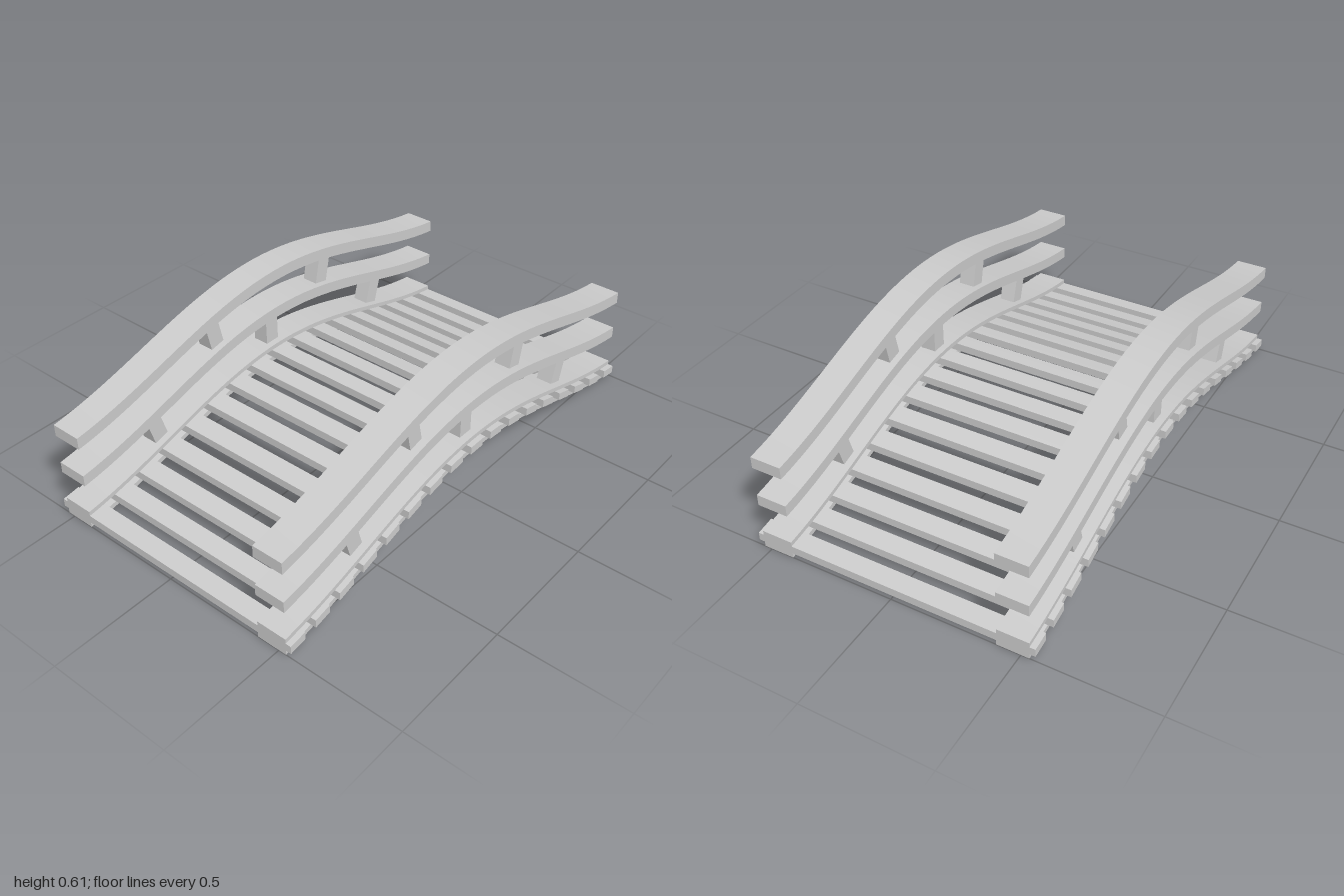
import * as THREE from 'three';

const material = new THREE.MeshStandardMaterial({ color: 0xcccccc });

// Height and slope of the arched walkway along x
const RISE = 0.207, K = 2.7;
const arch = x => RISE * (Math.cos(K * x) - Math.cos(K)) / (1 - Math.cos(K));
const slope = x => -RISE * K * Math.sin(K * x) / (1 - Math.cos(K));

// Box bent along the arch; y0 and y1 are its heights at the bridge ends
function archedSlab(name, x0, x1, y0, y1, z, depth, segments) {
  const geometry = new THREE.BoxGeometry(x1 - x0, y1 - y0, depth, segments, 1, 1);
  geometry.translate((x0 + x1) / 2, (y0 + y1) / 2, z);
  const p = geometry.attributes.position;
  for (let i = 0; i < p.count; i++) p.setY(i, p.getY(i) + arch(p.getX(i)));
  geometry.computeVertexNormals();
  const mesh = new THREE.Mesh(geometry, material);
  mesh.name = name;
  return mesh;
}

// Short post standing square to the arch, midway between two rails
function post(name, x, baseY, z) {
  const mesh = new THREE.Mesh(new THREE.BoxGeometry(0.063, 0.122, 0.065), material);
  mesh.position.set(x, baseY + arch(x), z);
  mesh.rotation.z = Math.atan(slope(x));
  mesh.name = name;
  return mesh;
}

export function createModel() {
  const bridge = new THREE.Group();
  bridge.name = 'archedFootbridge';

  // Deck planks
  const deck = new THREE.Group();
  deck.name = 'deck';
  const COUNT = 17, WIDTH = 0.07;
  for (let i = 0; i < COUNT; i++) {
    const x = -1 + i * (2 - WIDTH) / (COUNT - 1);
    deck.add(archedSlab('plank', x, x + WIDTH, 0.02, 0.052, 0, 1.106, 2));
  }
  bridge.add(deck);

  // Matching railings on both sides
  for (const side of [1, -1]) {
    const railing = new THREE.Group();
    railing.name = side > 0 ? 'frontRailing' : 'backRailing';
    const z = side * 0.47;
    const beams = [
      ['lowerStringer', 0, 0.02],
      ['upperStringer', 0.052, 0.07],
      ['middleRail', 0.19, 0.235],
      ['handRail', 0.354, 0.401],
    ];
    for (const [name, y0, y1] of beams) {
      railing.add(archedSlab(name, -1, 1, y0, y1, z, 0.122, 36));
    }
    for (const x of [-0.63, -0.003, 0.63]) railing.add(post('lowerPost', x, 0.13, side * 0.4685));
    for (const x of [-0.31, 0.305]) railing.add(post('upperPost', x, 0.294, side * 0.4685));
    bridge.add(railing);
  }
  return bridge;
}
